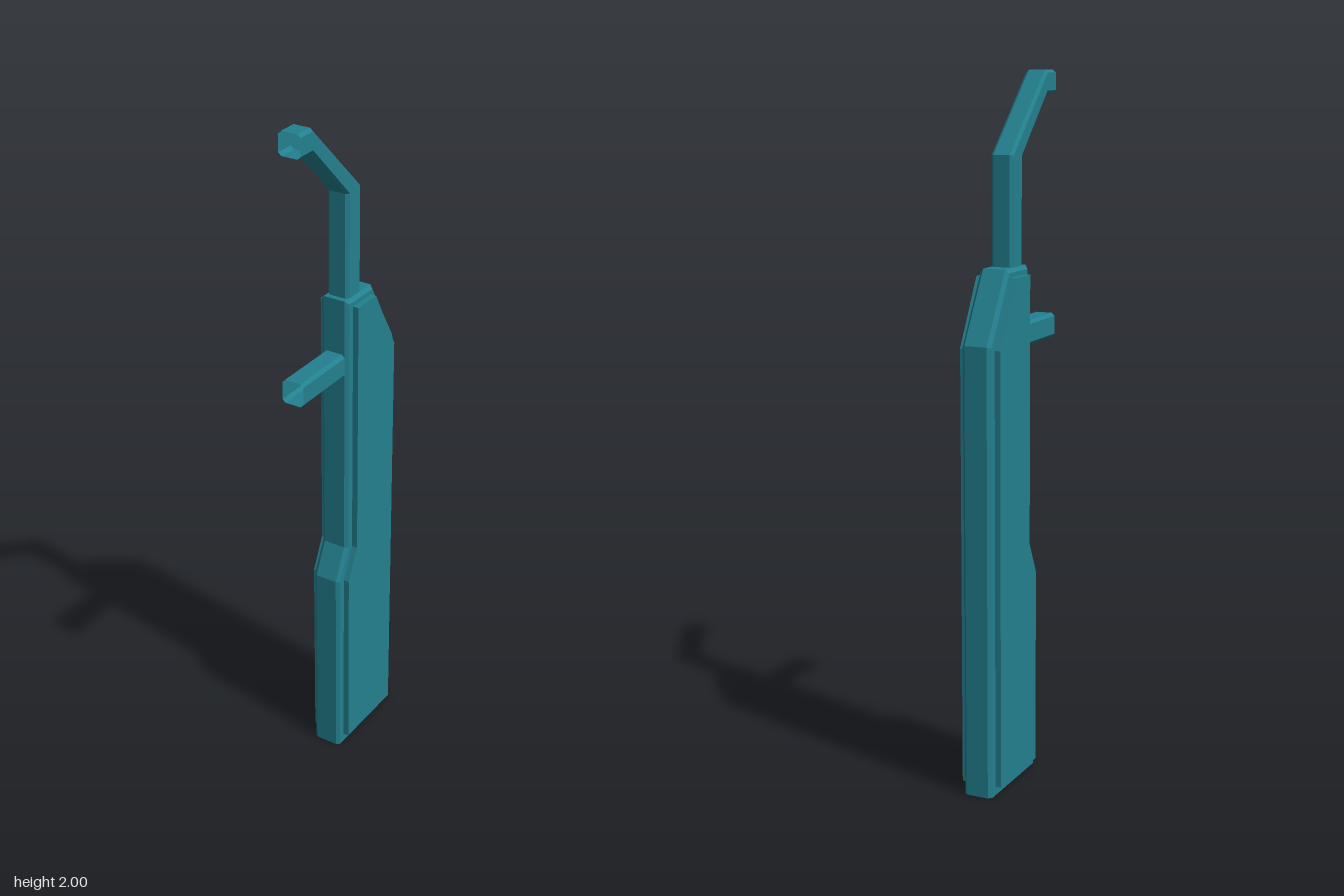
import * as THREE from 'three';

const material = new THREE.MeshStandardMaterial({ color: 0x23808f, flatShading: true, side: THREE.DoubleSide });

// Skin a list of equally long point rings [x, y, z]
function loft(rings, closed) {
  const pos = [];
  const n = rings[0].length;
  for (let i = 0; i < rings.length - 1; i++) {
    for (let j = 0; j < (closed ? n : n - 1); j++) {
      const k = (j + 1) % n;
      const a = rings[i][j], b = rings[i][k], c = rings[i + 1][k], d = rings[i + 1][j];
      pos.push(...a, ...d, ...c, ...a, ...c, ...b);
    }
  }
  const g = new THREE.BufferGeometry();
  g.setAttribute('position', new THREE.Float32BufferAttribute(pos, 3));
  g.computeVertexNormals();
  return g;
}

// Open-ended square tube with chamfered corners; each stop is [outer z, outer y, inner z, inner y]
function squareTube(stops) {
  const w = 0.033, c = 0.024, t = 0.13;
  const section = [[c, 1], [-c, 1], [-w, 1 - t], [-w, t], [-c, 0], [c, 0], [w, t], [w, 1 - t]];
  return loft(stops.map(([oz, oy, iz, iy]) =>
    section.map(([x, s]) => [x, oy + (iy - oy) * s, oz + (iz - oz) * s])), true);
}

const shapeOf = (pts) => new THREE.Shape(pts.map(([z, y]) => new THREE.Vector2(z, y)));

export function createModel() {
  const group = new THREE.Group();
  const add = (name, geometry) => {
    const mesh = new THREE.Mesh(geometry, material);
    mesh.name = name;
    group.add(mesh);
    return mesh;
  };

  // Side profiles as [z, y], from the front foot over the top to the back foot
  const rim = [[0.068, 0], [0.068, 0.6], [0.023, 0.695], [0.023, 1.475], [-0.107, 1.475], [-0.224, 1.28], [-0.224, 0]];
  const flat = [[0.06, 0], [0.06, 0.598], [0.015, 0.693], [0.015, 1.465], [-0.102, 1.465], [-0.213, 1.277], [-0.213, 0]];
  const inset = [[0.04, 0.026], [0.04, 0.594], [-0.004, 0.688], [-0.004, 1.452], [-0.094, 1.452], [-0.195, 1.268], [-0.195, 0.026]];

  // Chamfered edge band of the body, open underneath
  const at = (pts, x) => pts.map(([z, y]) => [x, y, z]);
  add('bodyBand', loft([at(flat, -0.043), at(rim, -0.033), at(rim, 0.033), at(flat, 0.043)], false));

  // Flat body walls with a raised panel on each side
  for (const [side, s] of [['left', 1], ['right', -1]]) {
    const wall = new THREE.ShapeGeometry(shapeOf(flat));
    wall.rotateY(-Math.PI / 2).translate(s * 0.043, 0, 0);
    if (s > 0) {
      // turn the left wall to face outwards
      const idx = wall.index.array;
      for (let i = 0; i < idx.length; i += 3) [idx[i], idx[i + 1]] = [idx[i + 1], idx[i]];
      wall.computeVertexNormals();
    }
    add(side + 'Wall', wall);

    const panel = new THREE.ExtrudeGeometry(shapeOf(inset), { depth: 0.017, bevelEnabled: false });
    panel.rotateY(-Math.PI / 2).translate(s > 0 ? 0.06 : -0.043, 0, 0);
    add(side + 'Panel', panel);
  }

  // Bent arm rising from the top and reaching forward
  add('bentArm', squareTube([
    [-0.061, 1.46, 0.007, 1.46],
    [-0.061, 1.777, 0.007, 1.772],
    [0.169, 2, 0.169, 1.935],
    [0.225, 2, 0.225, 1.935],
  ]));

  // Straight arm on the front
  add('frontArm', squareTube([
    [0.015, 1.315, 0.015, 1.246],
    [0.225, 1.315, 0.225, 1.246],
  ]));

  return group;
}
